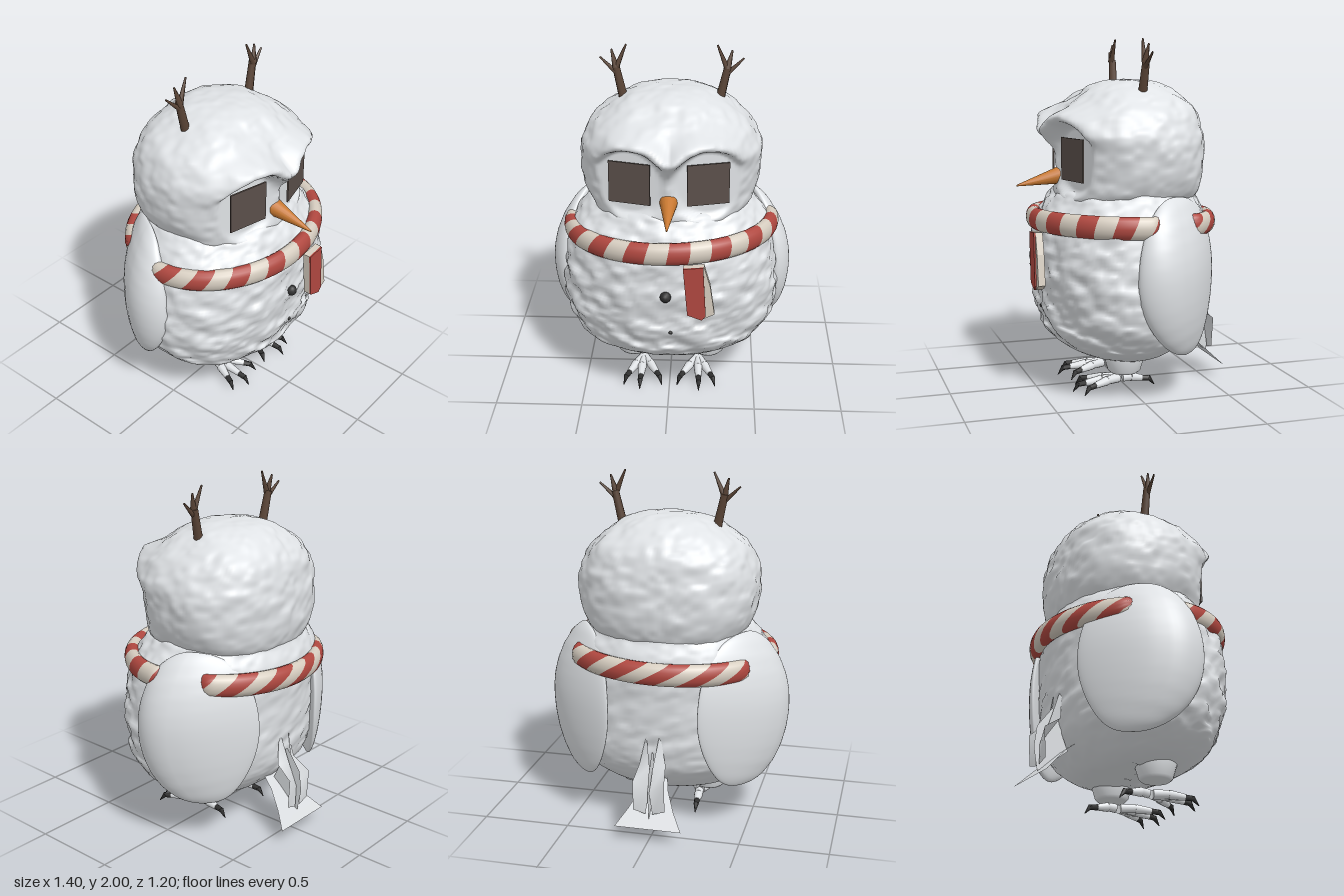
import * as THREE from 'three';

const mat = (name, color, side = THREE.FrontSide) => {
  const m = new THREE.MeshStandardMaterial({ color, side });
  m.name = name;
  return m;
};
const V = (x, y, z) => new THREE.Vector3(x, y, z);
const smooth = THREE.MathUtils.smoothstep;

// Seeded 3D value noise, about -1..1
const hash = (x, y, z) => {
  let h = (x * 374761393 + y * 668265263 + z * 1274126177) | 0;
  h = Math.imul(h ^ (h >>> 13), 1274126177);
  return ((h ^ (h >>> 16)) >>> 0) / 2147483648 - 1;
};
function noise(x, y, z) {
  const X = Math.floor(x), Y = Math.floor(y), Z = Math.floor(z);
  const f = [x - X, y - Y, z - Z].map(t => t * t * (3 - 2 * t));
  let sum = 0;
  for (let c = 0; c < 8; c++) {
    const a = c & 1, b = (c >> 1) & 1, d = c >> 2;
    sum += hash(X + a, Y + b, Z + d) * (a ? f[0] : 1 - f[0]) * (b ? f[1] : 1 - f[1]) * (d ? f[2] : 1 - f[2]);
  }
  return sum;
}

// Closed skin through rings [y, half width, front z, back z]; tweak adjusts each point
function ringSkin(rows, nRows, nCols, power, tweak) {
  const curve = f => new THREE.CatmullRomCurve3(rows.map(f), false, 'catmullrom', 0.5);
  const size = curve(r => V(r[1], r[2], r[3])), height = curve(r => V(r[0], 0, 0));
  const pos = [], idx = [];
  for (let i = 0; i <= nRows; i++) {
    const s = size.getPoint(i / nRows), y = height.getPoint(i / nRows).x;
    for (let j = 0; j < nCols; j++) {
      const a = j / nCols * Math.PI * 2, sx = Math.sin(a), cz = Math.cos(a);
      const k = Math.pow(Math.abs(sx) ** power + Math.abs(cz) ** power, -1 / power);
      const p = V(s.x * k * sx, y, (s.y + s.z) / 2 + (s.y - s.z) / 2 * k * cz);
      tweak(p, sx, cz);
      pos.push(p.x, p.y, p.z);
      if (i < nRows) {
        const q = i * nCols + j, r = i * nCols + (j + 1) % nCols;
        idx.push(q, r, r + nCols, q, r + nCols, q + nCols);
      }
    }
  }
  return buffer(pos, idx);
}
function buffer(pos, idx) {
  const g = new THREE.BufferGeometry();
  g.setAttribute('position', new THREE.Float32BufferAttribute(pos, 3));
  g.setIndex(idx);
  g.computeVertexNormals();
  return g;
}

export function createModel() {
  const root = new THREE.Group();
  const white = mat('white plumage', 0xdfe2e5);
  const whiteThin = mat('white tail feather', 0xd8dbde, THREE.DoubleSide);
  const red = mat('scarf red', 0xb04840), cream = mat('scarf cream', 0xd6cdc0);
  const orange = mat('carrot orange', 0xc87830), bark = mat('twig brown', 0x5a4436);
  const dark = mat('coal black', 0x2e2e2e), eyeMat = mat('eye brown', 0x5a4f4a);
  const add = (name, geo, m) => {
    const mesh = new THREE.Mesh(geo, m);
    mesh.name = name;
    root.add(mesh);
    return mesh;
  };
  // Tapered rod from a to b
  const rod = (name, a, b, r0, r1, m, sides = 10) => {
    const d = b.clone().sub(a);
    const mesh = add(name, new THREE.CylinderGeometry(r1, r0, d.length(), sides), m);
    mesh.position.copy(a).addScaledVector(d, 0.5);
    mesh.quaternion.setFromUnitVectors(V(0, 1, 0), d.normalize());
  };

  // Plump body with clumped feathers, rougher towards the bottom and front
  add('body', ringSkin([
    [0.18, 0.005, 0.02, -0.02], [0.19, 0.30, 0.20, -0.22], [0.28, 0.49, 0.37, -0.35], [0.40, 0.585, 0.445, -0.43],
    [0.58, 0.625, 0.48, -0.46], [0.80, 0.615, 0.495, -0.47], [0.98, 0.575, 0.475, -0.48],
    [1.10, 0.50, 0.40, -0.44], [1.17, 0.39, 0.31, -0.37], [1.2, 0.005, 0, -0.02],
  ], 110, 170, 2.1, (p, sx, cz) => {
    const rough = (1.2 - 0.6 * p.y) * (0.7 + 0.3 * cz);
    const n = rough * (0.024 * noise(p.x * 11, p.y * 17 + p.x * 5, p.z * 11) + 0.014 * noise(p.x * 24, p.y * 34, p.z * 24));
    p.x += n * sx;
    p.z += n * cz;
    p.y += n * 0.5;
  }), white);

  // Round head with sunken eye discs and raised brows
  add('head', ringSkin([
    [1.10, 0.005, 0.0, -0.04], [1.06, 0.35, 0.33, -0.36], [1.12, 0.44, 0.375, -0.43], [1.24, 0.495, 0.365, -0.46],
    [1.40, 0.512, 0.385, -0.46], [1.50, 0.495, 0.40, -0.45], [1.60, 0.435, 0.345, -0.42],
    [1.70, 0.31, 0.22, -0.33], [1.76, 0.16, 0.10, -0.21], [1.778, 0.005, -0.04, -0.06],
  ], 100, 160, 2.4, (p, sx, cz) => {
    const n = 0.009 * noise(p.x * 9, p.y * 13, p.z * 9) + 0.006 * noise(p.x * 22, p.y * 26, p.z * 22);
    p.x += n * sx;
    p.z += n * cz;
    p.y += n * 0.6;
    if (cz <= 0 || p.z < 0.1) return;
    const ax = Math.abs(p.x), d = Math.hypot(ax - 0.215, p.y - 1.335);
    const brow = Math.exp(-(((d - 0.245) / 0.045) ** 2)) * smooth(p.y, 1.36, 1.5);
    p.z += 0.075 * brow * smooth(0.47 - ax, 0, 0.2);
    const w = 1 - smooth(d, 0.17, 0.22);
    p.z += (Math.min(p.z, 0.36 - 0.26 * ax) - p.z) * w;
  }), white);

  // Paired parts
  for (const s of [-1, 1]) {
    const side = s > 0 ? 'left' : 'right';

    const eye = add(side + 'Eye', new THREE.BoxGeometry(0.237, 0.237, 0.009), eyeMat);
    eye.position.set(s * 0.215, 1.337, 0.331);
    eye.rotation.y = s * 0.255;

    // Folded wing: a flattened ellipsoid bent round the flank onto the back
    const wing = new THREE.SphereGeometry(1, 56, 40), wp = wing.attributes.position;
    for (let i = 0; i < wp.count; i++) {
      const px = wp.getX(i), py = wp.getY(i), pz = wp.getZ(i);
      const reach = pz > 0 ? 0.25 * pz : -0.31 * Math.abs(pz) ** 0.8;
      const z = -0.17 + reach + (py < 0 ? -0.08 * py * py * (1 + Math.min(pz, 0)) : 0);
      const x = 0.63 + px * 0.085 - 1.6 * z * z - (py > 0 ? 0.12 : 0.05) * py * py;
      wp.setXYZ(i, s * x, 0.70 + py * 0.44 + 0.004 * Math.sin(pz * 5 + py * 30) * px, z);
    }
    if (s < 0) wing.setIndex(Array.from(wing.index.array).reverse());
    wing.computeVertexNormals();
    add(side + 'Wing', wing, white);

    // Twig horns
    const twig = [
      [0.272, 1.70, 0.312, 1.88, 0.026, 0.021], [0.31, 1.87, 0.335, 1.97, 0.02, 0.005],
      [0.307, 1.87, 0.252, 2.0, 0.017, 0.005], [0.298, 1.83, 0.40, 1.925, 0.016, 0.005],
    ];
    twig.forEach(([x0, y0, x1, y1, r0, r1], i) =>
      rod(side + 'Twig' + i, V(s * x0, y0, -0.055), V(s * x1, y1, -0.062 - 0.008 * (i % 2)), r0, r1, bark, 7));

    // Thigh
    const thigh = add(side + 'Thigh', new THREE.LatheGeometry(
      [[0, 0.115], [0.08, 0.115], [0.095, 0.13], [0.115, 0.2], [0.12, 0.28], [0, 0.3]]
        .map(p => new THREE.Vector2(...p)), 24), white);
    thigh.position.set(s * 0.225, 0, 0.035);

    // Toes with hooked claws: three forward, one back
    for (const [deg, len] of [[-27, 0.17], [2, 0.19], [24, 0.17], [176, 0.11]]) {
      const a = deg * Math.PI / 180, dx = s * Math.sin(a), dz = Math.cos(a);
      const at = (d, y) => V(s * 0.165 + dx * d, y, 0.04 + dz * d);
      rod(side + 'ToeBase', at(0.015, 0.06), at(len * 0.6, 0.062), 0.026, 0.024, white);
      rod(side + 'ToeTip', at(len * 0.6, 0.06), at(len + 0.02, 0.05), 0.027, 0.018, white);
      rod(side + 'Claw', at(len + 0.015, 0.05), at(len + 0.065, 0.045), 0.017, 0.015, dark, 7);
      rod(side + 'ClawTip', at(len + 0.058, 0.05), at(len + 0.095, 0.005), 0.016, 0.002, dark, 7);
    }
  }

  // Carrot beak
  rod('beak', V(0, 1.234, 0.345), V(0, 1.18, 0.60), 0.051, 0.004, orange, 16);

  // Coal buttons
  for (const [x, y, z, r] of [[-0.012, 0.727, 0.495, 0.032], [0.015, 0.485, 0.465, 0.012]]) {
    add('button', new THREE.IcosahedronGeometry(r, 1), dark).position.set(x, y, z);
  }

  // Scarf ring, tucked in under the wings; stripes upright in front, slanting behind
  const pairs = 16, per = 16, N = pairs * per, M = 16, pos = [], idx = [];
  const id = (i, j) => (i % N) * M + j % M;
  for (let i = 0; i < N; i++) {
    const a0 = i / N * Math.PI * 2, slant = 0.5 - 0.4 * Math.cos(a0) - 0.15 * Math.sin(a0);
    for (let j = 0; j < M; j++) {
      const b = j / M * Math.PI * 2, a = a0 + slant * Math.sin(b) * Math.PI / pairs;
      const sx = Math.sin(a), cz = Math.cos(a), zc = 0.50 * cz;
      const tuck = smooth(zc, -0.30, -0.21) * (1 - smooth(zc, -0.10, 0.0));
      const r = 1 - 0.12 * tuck, t = 0.046 * Math.cos(b);
      pos.push(sx * (0.578 * r + t), 0.975 + 0.018 * sx + 0.012 * cz + 0.064 * Math.sin(b), cz * (0.495 * r + t) - 0.01);
      idx.push(id(i, j), id(i + 1, j), id(i + 1, j + 1), id(i, j), id(i + 1, j + 1), id(i, j + 1));
    }
  }
  const scarf = buffer(pos, idx), chunk = per / 2 * M * 6;
  for (let k = 0; k < pairs * 2; k++) scarf.addGroup(k * chunk, chunk, k % 2);
  add('scarf', scarf, [red, cream]);

  // Hanging scarf end
  const plate = (pts, depth) => new THREE.ExtrudeGeometry(
    new THREE.Shape(pts.map(p => new THREE.Vector2(...p))), { depth, bevelEnabled: false });
  add('scarfEnd', plate([[0.085, 0.93], [0.11, 0.645], [0.19, 0.615], [0.26, 0.65], [0.235, 0.82], [0.20, 0.94]], 0.04), cream)
    .position.z = 0.50;
  add('scarfEndStripe', plate([[0.085, 0.93], [0.11, 0.645], [0.19, 0.615], [0.212, 0.64], [0.195, 0.94]], 0.009), red)
    .position.z = 0.54;

  // Tail: a drooping fan and upright tufts, each a thin sheet between two edges
  const sheet = (name, left, right) => {
    const p = [], f = [];
    left.forEach((l, i) => {
      p.push(...l, ...right[i]);
      if (i) f.push(2 * i - 2, 2 * i - 1, 2 * i + 1, 2 * i - 2, 2 * i + 1, 2 * i);
    });
    add(name, buffer(p, f), whiteThin);
  };
  const flip = e => e.map(([x, y, z]) => [-x, y, z]);
  const fan = [[0.05, 0.33, -0.33], [0.08, 0.25, -0.43], [0.13, 0.165, -0.52], [0.19, 0.085, -0.60]];
  sheet('tailFan', flip(fan), fan);
  const tuftIn = [[0.035, 0.58, -0.46], [0.01, 0.42, -0.50], [0.0, 0.28, -0.55], [0.02, 0.16, -0.56]];
  const tuftOut = [[0.045, 0.56, -0.45], [0.075, 0.42, -0.47], [0.09, 0.35, -0.57], [0.09, 0.18, -0.56]];
  sheet('tailTuftLeft', tuftIn, tuftOut);
  sheet('tailTuftRight', flip(tuftOut), flip(tuftIn));
  const keel = [[0, 0.5, -0.48], [0, 0.38, -0.57], [0, 0.26, -0.585], [0, 0.13, -0.56]];
  sheet('tailKeel', keel, [[0, 0.45, -0.42], [0, 0.36, -0.42], [0, 0.27, -0.38], [0, 0.15, -0.53]]);

  return root;
}
